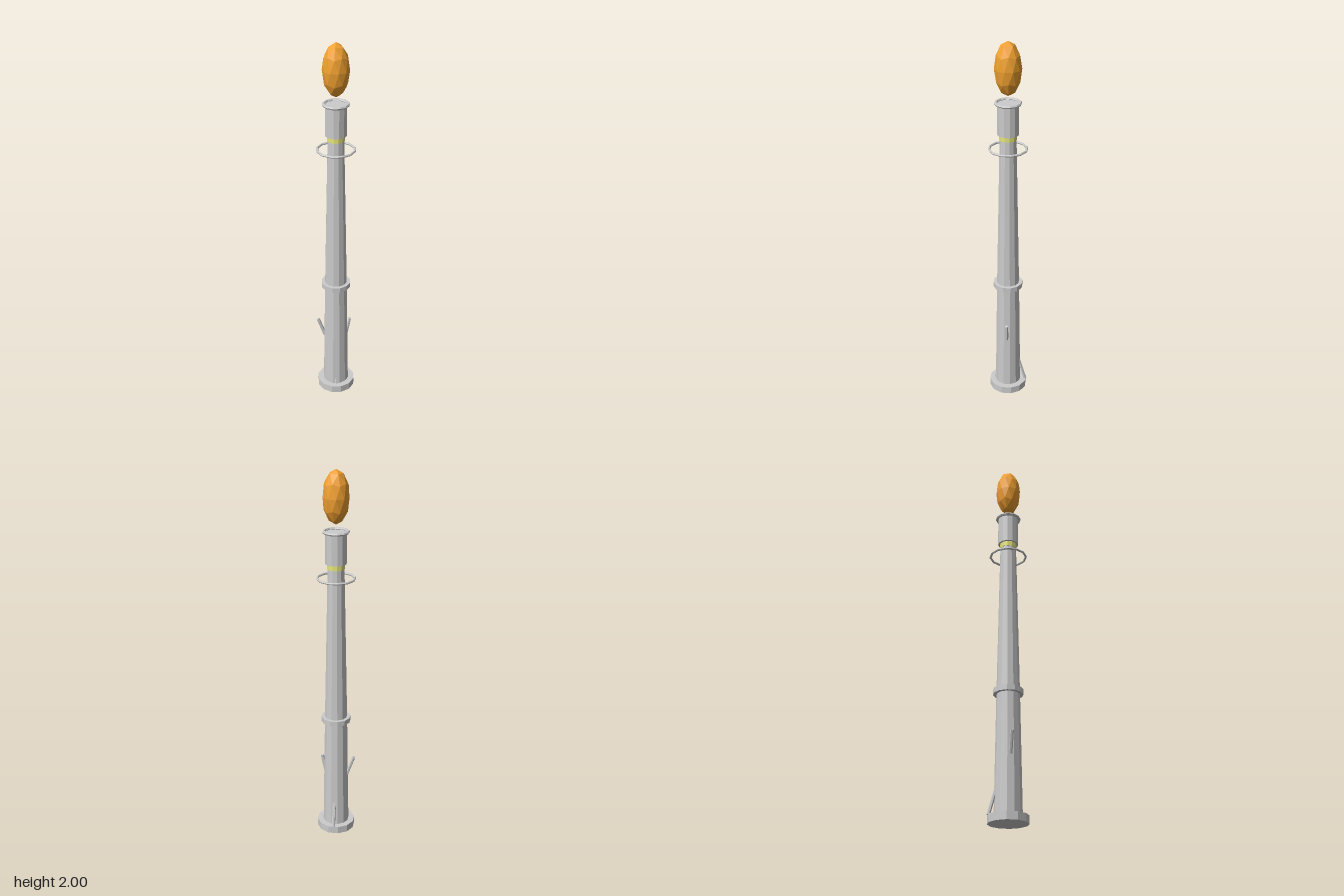
import * as THREE from 'three';

const SIDES = 12;
const mat = (color) => new THREE.MeshStandardMaterial({ color, flatShading: true });

export function createModel() {
  const group = new THREE.Group();
  const grey = mat(0xcccccc);
  const yellow = mat(0xe6e67a);
  const orange = mat(0xf0a030);

  const add = (name, geometry, material = grey) => {
    const mesh = new THREE.Mesh(geometry, material);
    mesh.name = name;
    group.add(mesh);
    return mesh;
  };
  // upright tapered drum between two heights
  const drum = (name, y0, y1, r0, r1, material) =>
    add(name, new THREE.CylinderGeometry(r1, r0, y1 - y0, SIDES), material).position.y = (y0 + y1) / 2;
  // horizontal hoop
  const hoop = (name, y, radius, tube) =>
    add(name, new THREE.TorusGeometry(radius, tube, 6, SIDES).rotateX(Math.PI / 2)).position.y = y;
  // slim rod leaning in a radial plane, from (r0, y0) to (r1, y1)
  const rod = (name, signX, signZ, r0, y0, r1, y1) => {
    const at = (r, y) => new THREE.Vector3(signX * r * Math.SQRT1_2, y, signZ * r * Math.SQRT1_2);
    const a = at(r0, y0), b = at(r1, y1);
    const mesh = add(name, new THREE.CylinderGeometry(0.009, 0.009, a.distanceTo(b), 6));
    mesh.position.copy(a).add(b).multiplyScalar(0.5);
    mesh.quaternion.setFromUnitVectors(new THREE.Vector3(0, 1, 0), b.sub(a).normalize());
  };

  // stack
  drum('basePlate', 0, 0.04, 0.102, 0.102);
  drum('lowerStack', 0.04, 0.66, 0.07, 0.06);
  drum('middleCollar', 0.655, 0.682, 0.078, 0.078);
  drum('upperStack', 0.66, 1.54, 0.06, 0.042);
  hoop('guardRing', 1.453, 0.096, 0.006);

  // burner head
  drum('warningBand', 1.503, 1.53, 0.045, 0.045, yellow);
  drum('burnerTip', 1.53, 1.69, 0.055, 0.055);
  hoop('burnerRim', 1.692, 0.061, 0.008);

  // leaning rods around the lower stack
  rod('frontLeftBracket', 1, 1, 0.057, 0.34, 0.076, 0.437);
  rod('backRightBracket', -1, -1, 0.06, 0.33, 0.098, 0.437);
  rod('backLeftBrace', 1, -1, 0.097, 0.04, 0.054, 0.19);
  rod('frontRightBrace', -1, 1, 0.07, 0.03, 0.058, 0.08);

  // faceted flame, one corner pointing straight up
  const flame = new THREE.IcosahedronGeometry(1, 1);
  flame.rotateZ(Math.atan(2 / (1 + Math.sqrt(5)))).rotateY(Math.PI).scale(0.068, 0.136, 0.068);
  add('flame', flame, orange).position.y = 1.864;

  return group;
}
